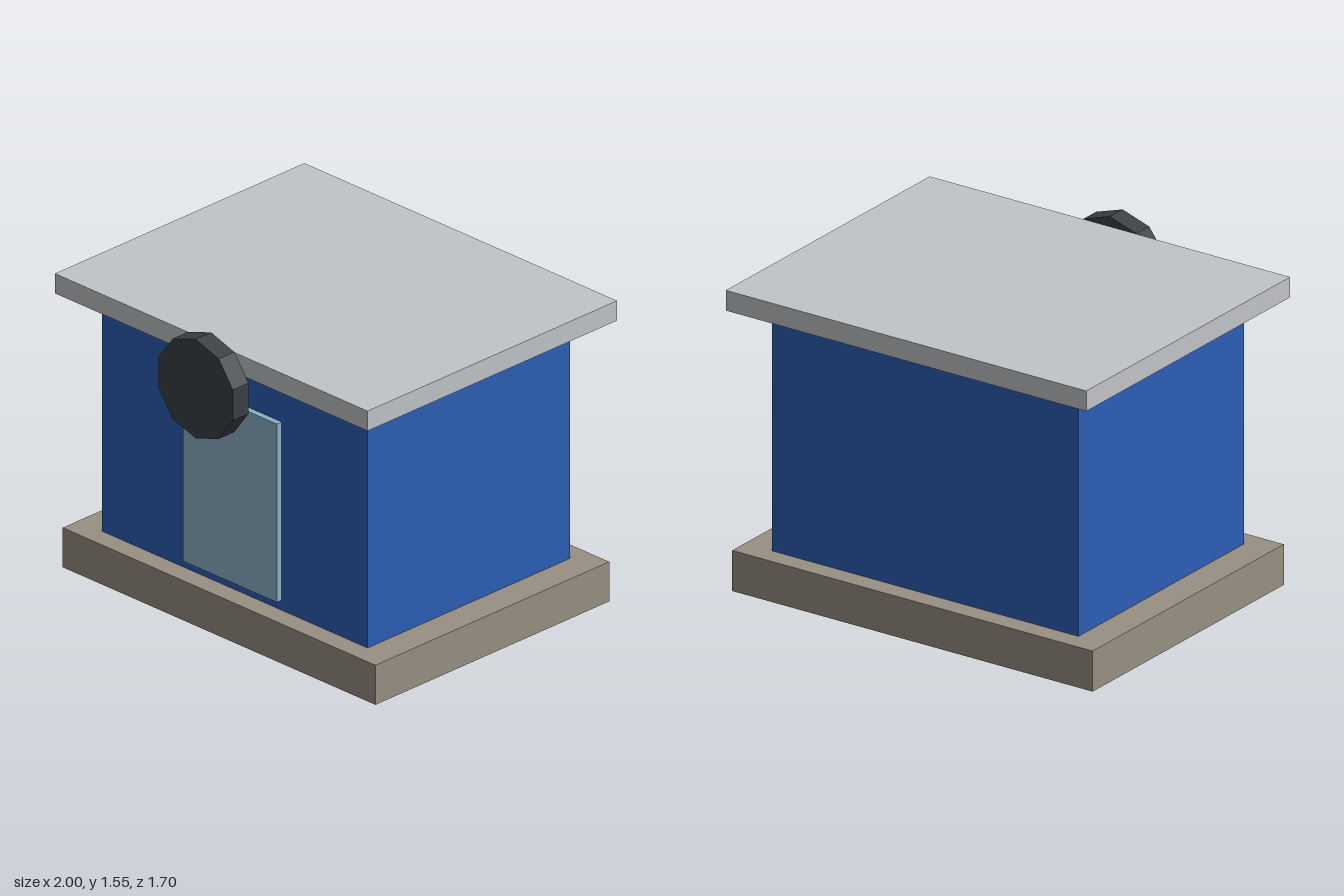
import * as THREE from 'three';

const material = (name, color) => {
  const m = new THREE.MeshStandardMaterial({ color });
  m.name = name;
  return m;
};

export function createModel() {
  const stone = material('stone', 0x989083);
  const blue = material('blue', 0x2c5fb6);
  const grey = material('light grey', 0xc2c5c8);
  const glass = material('pale glass', 0x8cb4c9);
  const dark = material('dark grey', 0x3c4045);

  const model = new THREE.Group();
  model.name = 'kiosk';

  const add = (name, geometry, mat, x, y, z) => {
    const mesh = new THREE.Mesh(geometry, mat);
    mesh.name = name;
    mesh.position.set(x, y, z);
    model.add(mesh);
  };

  // Box given by its width, height range and depth range
  const addBox = (name, mat, width, y0, y1, z0, z1) =>
    add(name, new THREE.BoxGeometry(width, y1 - y0, z1 - z0), mat, 0, (y0 + y1) / 2, (z0 + z1) / 2);

  addBox('base', stone, 2, 0, 0.2, -0.8, 0.7);
  addBox('walls', blue, 1.7, 0.2, 1.4, -0.7, 0.6);
  addBox('roof', grey, 2, 1.4, 1.5, -0.85, 0.75);
  addBox('door', glass, 0.6, 0.25, 1.15, 0.6, 0.63);

  // Ten-sided disc sign on the front edge of the roof
  const disc = new THREE.CylinderGeometry(0.25, 0.25, 0.1, 10).rotateX(Math.PI / 2).toNonIndexed();
  disc.computeVertexNormals();
  add('sign', disc, dark, 0, 1.3, 0.8);

  return model;
}
